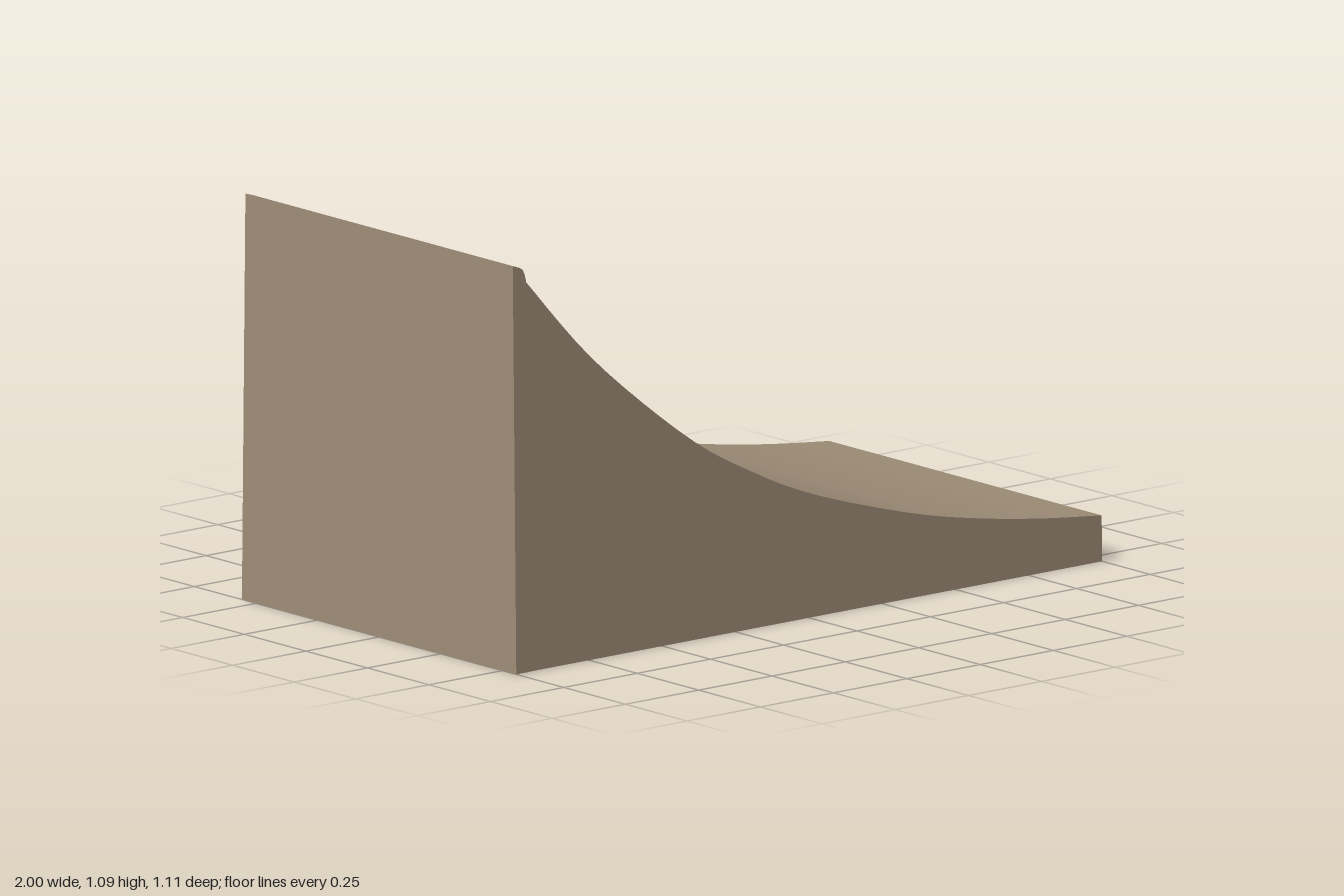
import * as THREE from 'three';
import { toCreasedNormals } from 'three/addons/utils/BufferGeometryUtils.js';

// Side profile extruded across the width, narrowing slightly with height
function taperedSlab(points, baseHalf, taper) {
  const shape = new THREE.Shape(points);
  const geo = new THREE.ExtrudeGeometry(shape, { depth: 2, bevelEnabled: false });
  const p = geo.attributes.position;
  for (let i = 0; i < p.count; i++) {
    p.setZ(i, (p.getZ(i) - 1) * (baseHalf - taper * p.getY(i)));
  }
  return toCreasedNormals(geo, 0.35);
}

const vectors = (list) => list.map(([x, y]) => new THREE.Vector2(x, y));

export function createModel() {
  const group = new THREE.Group();
  group.name = 'ramp';
  const tan = new THREE.MeshStandardMaterial({ color: 0xa08f79 });
  tan.name = 'tan';

  const add = (name, geo) => {
    const mesh = new THREE.Mesh(geo, tan);
    mesh.name = name;
    group.add(mesh);
  };

  // Curved riding surface with solid sides
  const curve = new THREE.SplineCurve(vectors([
    [-0.955, 1.045], [-0.72, 0.795], [-0.4, 0.54], [-0.17, 0.41], [0, 0.335],
    [0.2, 0.27], [0.4, 0.215], [0.6, 0.175], [0.8, 0.145], [1, 0.123],
  ]));
  add('rampBody', taperedSlab(
    [...vectors([[-0.955, 0], [1, 0]]), ...curve.getPoints(48).reverse()], 0.555, 0.014));

  // Upright back wall with a small rounded lip
  add('backWall', taperedSlab(vectors([
    [-1, 0], [-0.955, 0], [-0.955, 1.045], [-0.96, 1.065], [-0.967, 1.079],
    [-0.98, 1.086], [-1, 1.092],
  ]), 0.557, 0.013));

  return group;
}
